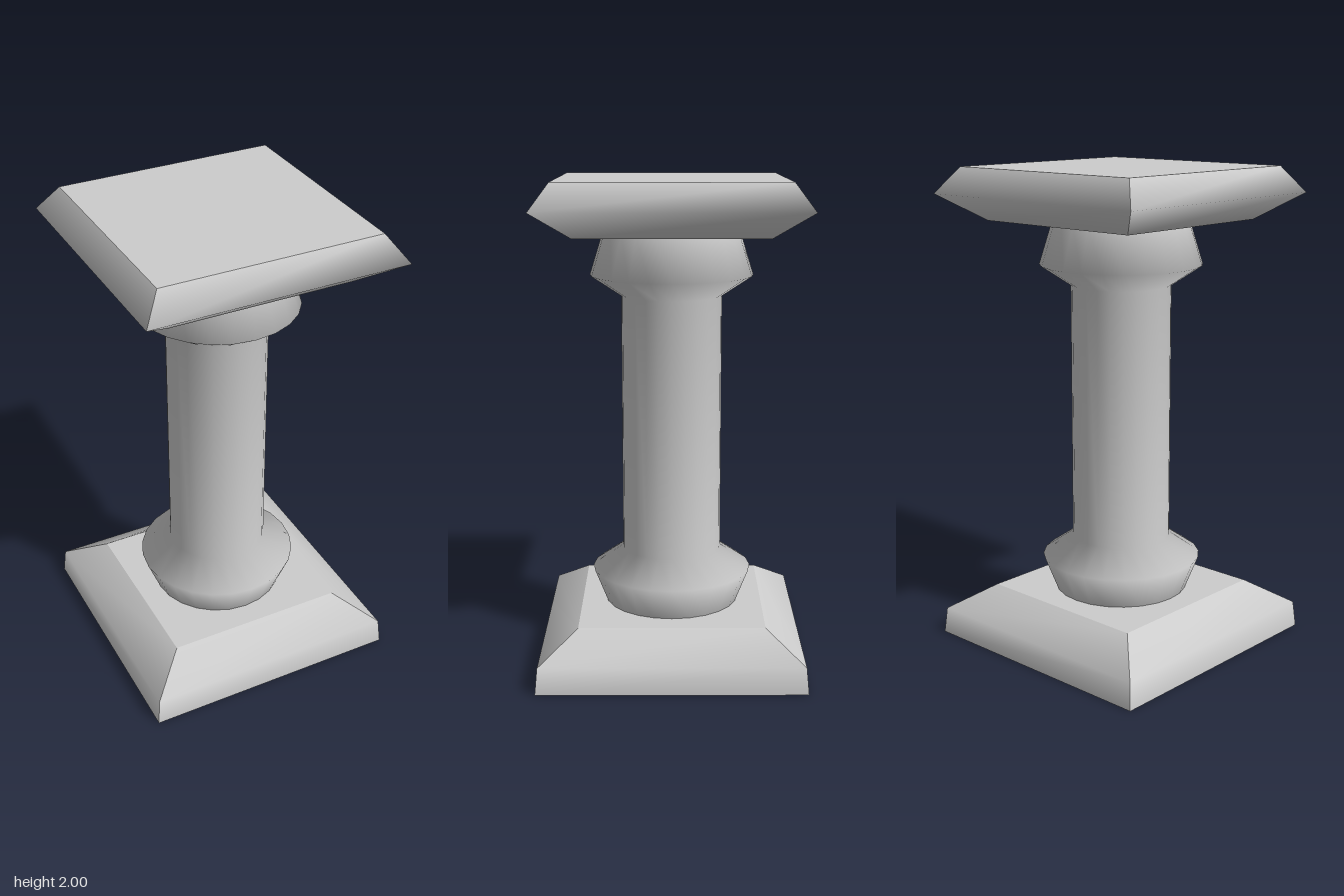
import * as THREE from 'three';
import { mergeGeometries } from 'three/addons/utils/BufferGeometryUtils.js';

const material = new THREE.MeshStandardMaterial({ color: 0xcccccc, side: THREE.DoubleSide });

// One sloping side of a square slab; profile is [half width, height] from bottom to top.
// Normals are smooth up the profile and sharp at the four corners.
function sidePanel(profile) {
  const position = [], index = [];
  profile.forEach(([h, y], i) => {
    position.push(-h, y, h, h, y, h);
    if (i > 0) {
      const a = 2 * (i - 1);
      index.push(a, a + 1, a + 3, a, a + 3, a + 2);
    }
  });
  const g = new THREE.BufferGeometry();
  g.setAttribute('position', new THREE.Float32BufferAttribute(position, 3));
  g.setIndex(index);
  g.computeVertexNormals();
  return g;
}

// Flat square facing up (dir = 1) or down (dir = -1)
function squareFace([h, y], dir) {
  const g = new THREE.PlaneGeometry(2 * h, 2 * h);
  g.deleteAttribute('uv');
  return g.rotateX(-dir * Math.PI / 2).translate(0, y, 0);
}

function squareSlab(name, profile, closedBelow) {
  const parts = [squareFace(profile[profile.length - 1], 1)];
  if (closedBelow) parts.push(squareFace(profile[0], -1));
  for (let i = 0; i < 4; i++) parts.push(sidePanel(profile).rotateY(i * Math.PI / 2));
  const mesh = new THREE.Mesh(mergeGeometries(parts), material);
  mesh.name = name;
  return mesh;
}

export function createModel() {
  const group = new THREE.Group();
  group.name = 'pedestal';

  // Hollow plinth, open underneath
  group.add(squareSlab('plinth', [[0.545, 0], [0.535, 0.11], [0.38, 0.217]], false));

  // Round shaft with a flared collar at each end
  const profile = [
    [0.28, 0.217], [0.335, 0.357], [0.207, 0.447],
    [0.207, 1.523], [0.335, 1.608], [0.28, 1.785],
  ].map(([r, y]) => new THREE.Vector2(r, y));
  const column = new THREE.Mesh(new THREE.LatheGeometry(profile, 24), material);
  column.name = 'column';
  group.add(column);

  // Bevelled top slab
  group.add(squareSlab('topSlab', [[0.38, 1.785], [0.532, 1.893], [0.455, 2]], true));

  return group;
}
